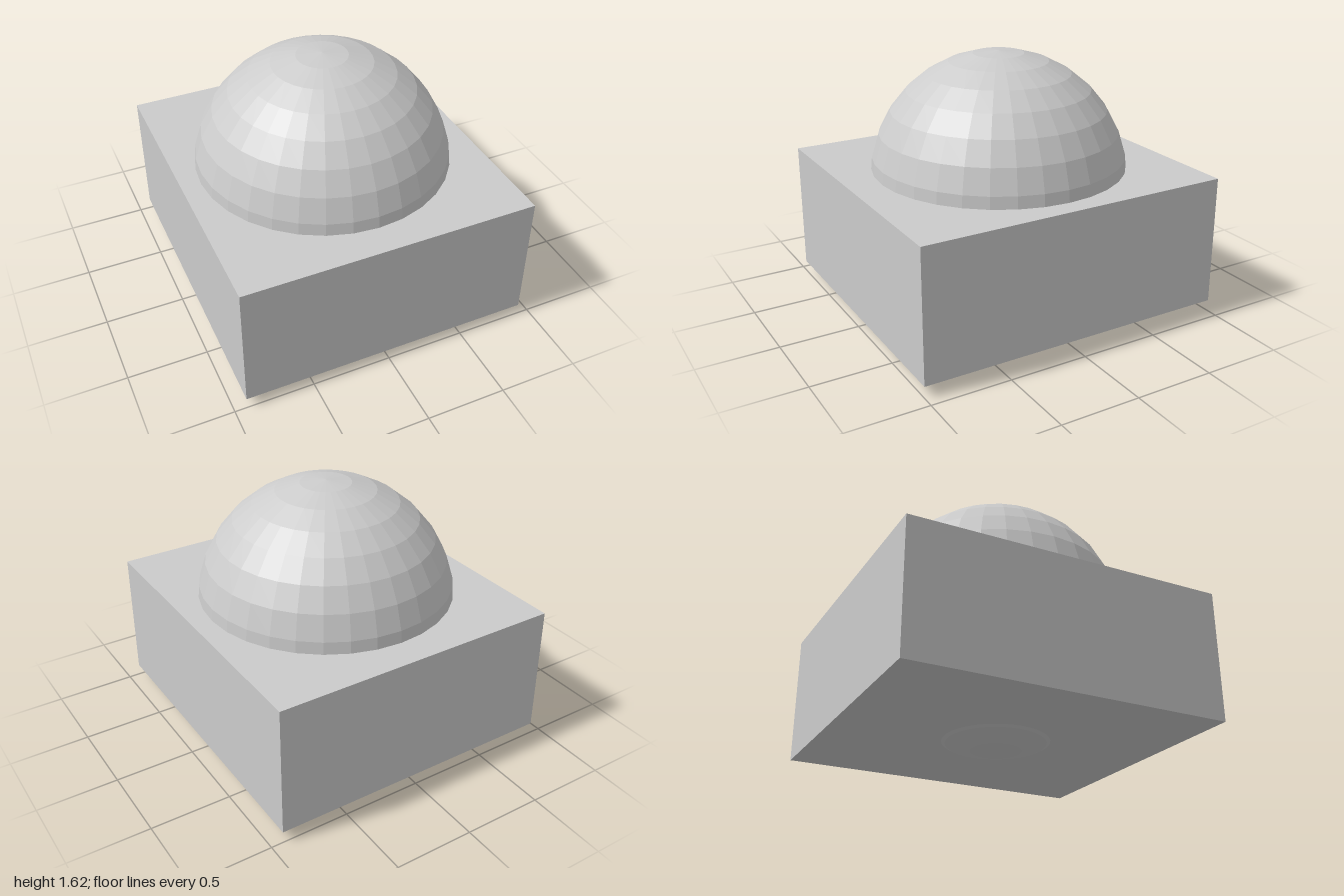
import * as THREE from 'three';

export function createModel() {
  const group = new THREE.Group();
  const material = new THREE.MeshStandardMaterial({ color: 0xcccccc, flatShading: true });

  const add = (name, geometry, y) => {
    const mesh = new THREE.Mesh(geometry, material);
    mesh.name = name;
    mesh.position.y = y;
    group.add(mesh);
  };

  // rectangular block around the ball
  add('block', new THREE.BoxGeometry(1.85, 0.82, 2), 0.483);

  // faceted ball, domed above the block and just poking out below
  add('ball', new THREE.SphereGeometry(0.81, 32, 16), 0.81);

  return group;
}
